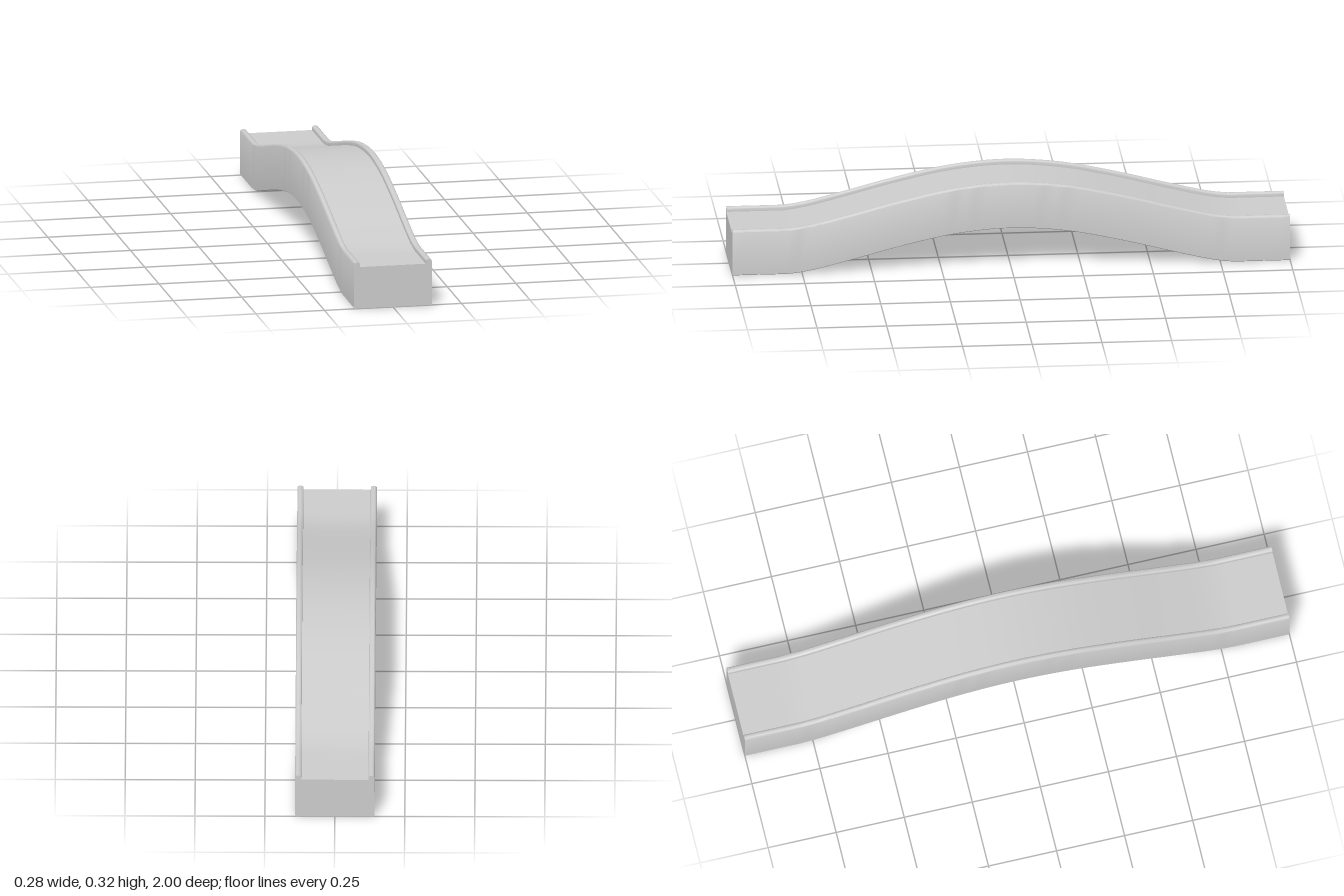
import * as THREE from 'three';
import { toCreasedNormals } from 'three/addons/utils/BufferGeometryUtils.js';

const HALF_WIDTH = 0.142, RAIL_INNER = 0.12, DECK = 0.153, RAIL_TOP = 0.17;

// Rise of the arch, from the crown (z = 0) to the flat landings
const halfRise = [[0, 0.15], [0.2, 0.134], [0.4, 0.092], [0.6, 0.04], [0.73, 0.009], [0.8, 0], [1, 0]];
const rise = [...halfRise.slice(1).reverse().map(([z, y]) => [-z, y]), ...halfRise];
const riseCurve = new THREE.CubicInterpolant(rise.map((p) => p[0]), rise.map((p) => p[1]), 1, [0]);
const riseAt = (z) => Math.max(0, riseCurve.evaluate(THREE.MathUtils.clamp(z, -1, 1))[0]);

// Cross-section: solid block with a round-topped kerb along each edge
function crossSection() {
  const right = [[HALF_WIDTH - 0.004, 0], [HALF_WIDTH, 0.003], [HALF_WIDTH, RAIL_TOP - 0.007]];
  const mid = (HALF_WIDTH + RAIL_INNER) / 2, radius = (HALF_WIDTH - RAIL_INNER) / 2;
  for (let i = 1; i < 6; i++) {
    const a = (i / 6) * Math.PI;
    right.push([mid + radius * Math.cos(a), RAIL_TOP - 0.007 + 0.007 * Math.sin(a)]);
  }
  right.push([RAIL_INNER, RAIL_TOP - 0.007], [RAIL_INNER, DECK]);
  const left = right.map(([x, y]) => [-x, y]).reverse();
  return new THREE.Shape([...right, ...left].map(([x, y]) => new THREE.Vector2(x, y)));
}

export function createModel() {
  const group = new THREE.Group();
  group.name = 'archedBridge';

  // Straight extrusion, lifted along its length to follow the arch
  const geometry = new THREE.ExtrudeGeometry(crossSection(), { depth: 2, steps: 50, bevelEnabled: false });
  geometry.translate(0, 0, -1);
  const pos = geometry.attributes.position;
  for (let i = 0; i < pos.count; i++) pos.setY(i, pos.getY(i) + riseAt(pos.getZ(i)));

  const span = new THREE.Mesh(
    toCreasedNormals(geometry, THREE.MathUtils.degToRad(35)),
    new THREE.MeshStandardMaterial({ color: 0xcccccc })
  );
  span.name = 'bridgeSpan';
  group.add(span);
  return group;
}
